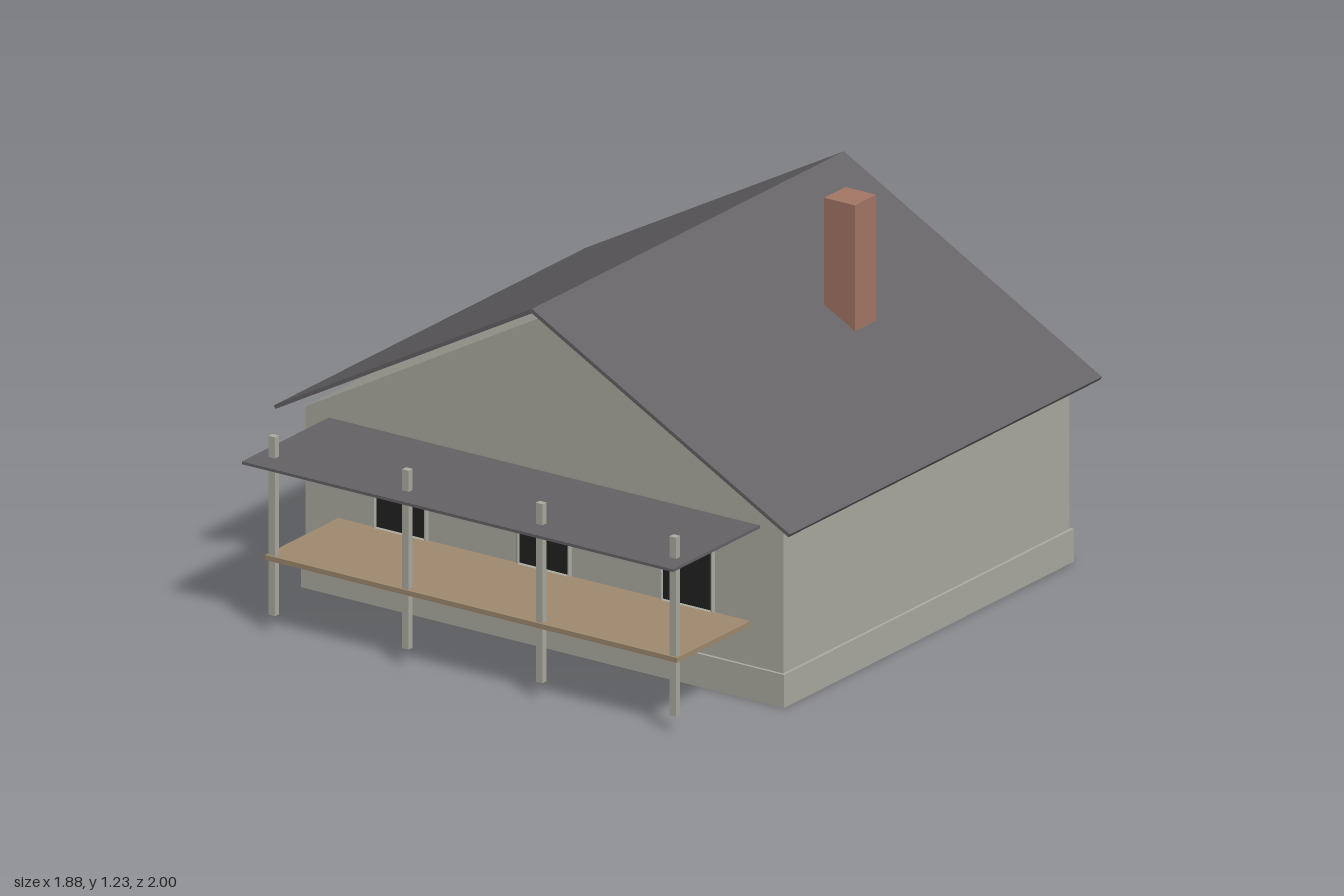
import * as THREE from 'three';

const mat = (name, color) => {
  const m = new THREE.MeshStandardMaterial({ color });
  m.name = name;
  return m;
};

export function createModel() {
  const house = new THREE.Group();
  house.name = 'house';

  const plaster = mat('plaster', 0xadaca2);
  const slate = mat('slate', 0x656365);
  const brick = mat('brick', 0xa57767);
  const wood = mat('wood', 0xa08b70);
  const glass = mat('dark glass', 0x222222);

  const add = (name, geometry, material, parent = house) => {
    const mesh = new THREE.Mesh(geometry, material);
    mesh.name = name;
    parent.add(mesh);
    return mesh;
  };

  // Box given by its lower and upper limits on each axis
  const box = (name, material, [x0, x1], [y0, y1], [z0, z1], parent) => {
    const mesh = add(name, new THREE.BoxGeometry(x1 - x0, y1 - y0, z1 - z0), material, parent);
    mesh.position.set((x0 + x1) / 2, (y0 + y1) / 2, (z0 + z1) / 2);
    return mesh;
  };

  // Outline in x and y, extruded from z0 to z1
  const prism = (name, material, points, z0, z1) => {
    const shape = new THREE.Shape(points.map(([x, y]) => new THREE.Vector2(x, y)));
    const geometry = new THREE.ExtrudeGeometry(shape, { depth: z1 - z0, bevelEnabled: false });
    geometry.translate(0, 0, z0);
    return add(name, geometry, material);
  };

  // Plinth and gabled walls
  box('plinth', plaster, [-0.88, 0.88], [0, 0.105], [-0.94, 0.56]);
  prism('walls', plaster,
    [[-0.87, 0.1], [0.87, 0.1], [0.87, 0.575], [0, 1.053], [-0.87, 0.575]], -0.93, 0.55);

  // Thin roof floating just above the gables
  prism('roof', slate,
    [[0, 1.082], [0.934, 0.573], [0.94, 0.583], [0, 1.096], [-0.94, 0.583], [-0.934, 0.573]], -1, 0.615);

  // Chimney
  box('chimney', brick, [0.378, 0.49], [0.75, 1.23], [-0.47, -0.36]);

  // Windows: bevelled frame with a hole, and a thin pane
  const rectangle = (path, w, h) => {
    path.moveTo(-w / 2, -h / 2);
    path.lineTo(w / 2, -h / 2);
    path.lineTo(w / 2, h / 2);
    path.lineTo(-w / 2, h / 2);
    path.closePath();
    return path;
  };
  const frameShape = rectangle(new THREE.Shape(), 0.19, 0.245);
  frameShape.holes.push(rectangle(new THREE.Path(), 0.186, 0.232));
  frameShape.holes[0] = rectangle(new THREE.Path(), 0.182, 0.23);
  const frameGeometry = new THREE.ExtrudeGeometry(frameShape, {
    depth: 0.004, bevelEnabled: true, bevelThickness: 0.006, bevelSize: 0.005, bevelSegments: 1,
  });
  const paneGeometry = new THREE.BoxGeometry(0.18, 0.228, 0.004);

  for (const [side, z, turn] of [['front', 0.55, 0], ['back', -0.93, Math.PI]]) {
    for (const x of [-0.522, 0, 0.522]) {
      const unit = new THREE.Group();
      unit.name = side + 'Window';
      add('windowFrame', frameGeometry, plaster, unit);
      add('windowPane', paneGeometry, glass, unit).position.z = 0.003;
      unit.position.set(x, 0.361, z);
      unit.rotation.y = turn;
      house.add(unit);
    }
  }

  // Porch: deck, flat canopy and four posts
  const porch = new THREE.Group();
  porch.name = 'porch';
  house.add(porch);
  box('deck', wood, [-0.75, 0.75], [0.23, 0.246], [0.55, 0.93], porch);
  box('canopy', slate, [-0.785, 0.785], [0.549, 0.558], [0.55, 1], porch);
  for (const x of [-0.731, -0.244, 0.243, 0.73]) {
    box('post', plaster, [x - 0.012, x + 0.012], [0.055, 0.625], [0.902, 0.923], porch);
  }

  return house;
}
